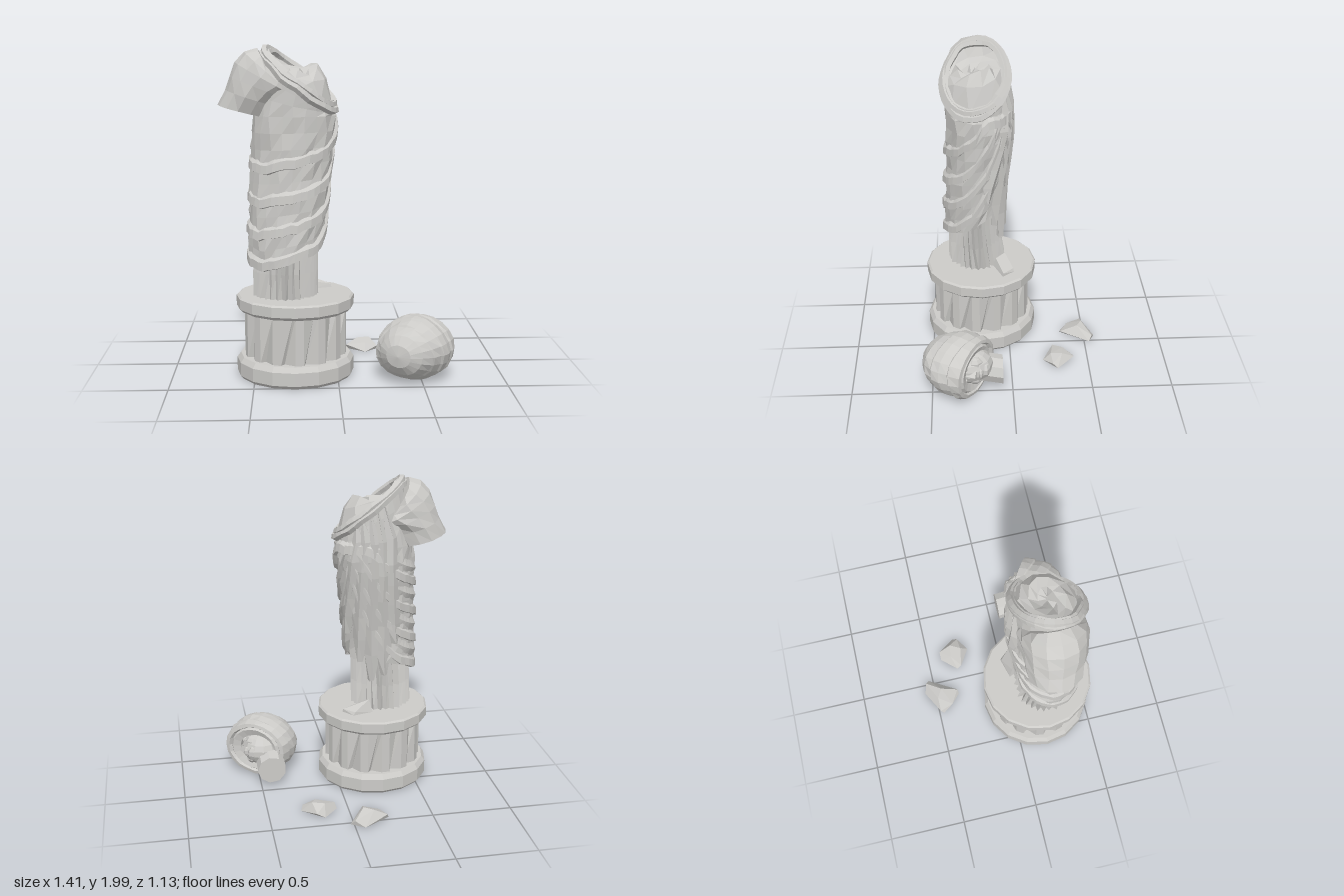
import * as THREE from 'three';
import { ConvexGeometry } from 'three/addons/geometries/ConvexGeometry.js';

const TAU = Math.PI * 2;
const V = (x, y, z) => new THREE.Vector3(x, y, z);
const lerp = THREE.MathUtils.lerp;

// repeatable noise in -1..1
function noise(i, j = 0) {
  const s = Math.sin(i * 127.1 + j * 311.7 + 4.7) * 43758.5453;
  return (s - Math.floor(s)) * 2 - 1;
}

// closed loops of nu points stacked in nv steps; point(i, v, j) gives each corner
function loft(nu, nv, point, capEnds = false) {
  const pos = [], idx = [];
  for (let j = 0; j <= nv; j++)
    for (let i = 0; i < nu; i++) pos.push(...point(i, j / nv, j).toArray());
  for (let j = 0; j < nv; j++)
    for (let i = 0; i < nu; i++) {
      const a = j * nu + i, b = j * nu + (i + 1) % nu;
      idx.push(a, b, b + nu, a, b + nu, a + nu);
    }
  if (capEnds) {
    const e = nv * nu;
    for (let i = 1; i < nu - 1; i++) idx.push(0, i + 1, i, e, e + i, e + i + 1);
  }
  const g = new THREE.BufferGeometry();
  g.setAttribute('position', new THREE.Float32BufferAttribute(pos, 3));
  g.setIndex(idx);
  g.computeVertexNormals();
  return g;
}

// body cross-sections: y, centre x, centre z, radius x, radius z
const SECTIONS = [
  [0.50, -0.315, 0.200, 0.198, 0.188],
  [0.74, -0.315, 0.220, 0.210, 0.183],
  [0.90, -0.304, 0.215, 0.220, 0.183],
  [1.10, -0.287, 0.205, 0.230, 0.185],
  [1.30, -0.275, 0.187, 0.232, 0.195],
  [1.50, -0.257, 0.177, 0.246, 0.203],
  [1.62, -0.260, 0.180, 0.240, 0.200],
];
function onBody(a, y, off = 0) {
  let k = 0;
  while (k < SECTIONS.length - 2 && y > SECTIONS[k + 1][0]) k++;
  const p = SECTIONS[k], q = SECTIONS[k + 1];
  const [, cx, cz, rx, rz] = p.map((n, m) => lerp(n, q[m], (y - p[0]) / (q[0] - p[0])));
  return V(cx + (rx + off) * Math.sin(a), y, cz + (rz + off) * Math.cos(a));
}

// swags hang lowest at the front corner and climb steeply at the back
function swagY(a, y0, climb = 0.5) {
  let d = Math.abs(a + Math.PI / 4) % TAU;
  if (d > Math.PI) d = TAU - d;
  const t = d / Math.PI;
  return Math.min(1.58, y0 + 0.15 * t + climb * t ** 5);
}

// tilted collar loop
function collar(a, r = 1, lift = 0) {
  const s = Math.sin(a) * r, c = Math.cos(a) * r;
  return V(-0.225 + 0.205 * s - 0.015 * c, 1.795 - 0.16 * s - 0.035 * c + lift, 0.195 + 0.19 * c);
}

export function createModel() {
  const model = new THREE.Group();
  const stone = new THREE.MeshStandardMaterial({ color: 0xcccbc8, flatShading: true, side: THREE.DoubleSide });
  stone.name = 'grey stone';
  const add = (name, geo, parent = model) => {
    const m = new THREE.Mesh(geo, stone);
    m.name = name;
    parent.add(m);
    return m;
  };
  const group = (name) => {
    const g = new THREE.Group();
    g.name = name;
    model.add(g);
    return g;
  };

  // pedestal: two bevelled discs and a fluted drum with slanting grooves
  const pedestal = group('pedestal');
  pedestal.position.set(-0.255, 0, 0.175);
  const disc = (name, pts) =>
    add(name, new THREE.LatheGeometry(pts.map((p) => new THREE.Vector2(...p)), 16), pedestal);
  disc('baseDisc', [[0, 0], [0.34, 0], [0.357, 0.02], [0.357, 0.1], [0.335, 0.13], [0, 0.13]]);
  disc('topDisc', [[0, 0.41], [0.335, 0.41], [0.357, 0.43], [0.357, 0.49], [0.345, 0.5], [0, 0.5]]);
  const FLUTES = 14;
  add('flutedDrum', loft(FLUTES * 3, 1, (i, v) => {
    const k = i % 3;
    const a = ((Math.floor(i / 3) + [0, 0.36, lerp(0.46, 0.9, v)][k]) / FLUTES) * TAU;
    const r = k === 2 ? 0.275 : 0.31;
    return V(r * Math.sin(a), lerp(0.12, 0.42, v), r * Math.cos(a));
  }), pedestal);

  // pleated underskirt
  const skirt = group('underskirt');
  add('pleats', loft(56, 4, (i, v, j) => {
    const y = lerp(0.5, 1.1, v);
    const fold = (i % 2 ? -0.022 : 0.004) + 0.008 * noise(i);
    return onBody((i + 0.25 * noise(i, j)) / 56 * TAU, y, fold - 0.01 - 0.04 * v);
  }, true), skirt);
  add('toe', new ConvexGeometry([
    V(-0.18, 0.5, 0.1), V(-0.18, 0.55, 0.08), V(-0.03, 0.5, 0.04), V(-0.035, 0.52, 0.035),
    V(-0.09, 0.5, -0.035), V(-0.1, 0.52, -0.03), V(-0.22, 0.5, 0.0), V(-0.2, 0.58, 0.02),
  ]), skirt);

  // draped torso, from the slanted hem up to the collar
  const SIDES = 22;
  add('drapedTorso', loft(SIDES, 12, (i, v, j) => {
    const a = (i / SIDES) * TAU;
    const low = swagY(a, 0.69, 0.1);
    const y = lerp(low, 1.58, Math.min(1, v / 0.75));
    const p = onBody(a + 0.06 * noise(i, j), y, 0.004 + 0.009 * noise(i + 40, j));
    return v > 0.75 ? p.lerp(collar(a), (v - 0.75) / 0.25) : p;
  }));

  // broad swags wrapped round the torso
  const swags = group('swags');
  [0.71, 0.89, 1.08, 1.28].forEach((y0, k) => {
    const outline = [[-0.04, -0.005], [-0.034, 0.02], [0.016, 0.018], [0.045, -0.01]];
    add('swag', loft(4, 36, (i, v, j) => {
      const a = v * TAU + 0.75 * Math.PI;
      const [dy, off] = outline[i];
      return onBody(a, swagY(a, y0) + dy + 0.008 * noise(j % 36, k), off + 0.004 * noise(j % 36, k + 9));
    }), swags);
  });
  // softer swags between them on the far side
  [0.8, 0.98, 1.18, 1.36].forEach((y0, k) => {
    add('sideSwag', loft(4, 12, (i, v, j) => {
      const a = -(0.42 + v * 0.48) * Math.PI;
      const u = (i / 4) * TAU, taper = Math.sin(Math.PI * lerp(0.05, 0.95, v));
      return onBody(a, swagY(a, y0) + 0.045 * Math.cos(u), 0.018 * taper * Math.sin(u) + 0.003 * noise(j, k));
    }), swags);
  });

  // cascade of broad folds falling down the back: top angle, bottom angle, bottom height, width
  const cascade = group('backCascade');
  [
    [0.84, 0.62, 1.00, 0.26], [0.90, 0.74, 0.82, 0.26],
    [0.97, 0.85, 0.70, 0.25], [1.03, 0.97, 0.74, 0.25], [1.09, 1.09, 0.95, 0.26],
  ].forEach(([a0, a1, yLow, w], k) => {
    add('fold', loft(4, 6, (i, v, j) => {
      const u = (i / 4) * TAU;
      const a = lerp(a1, a0, v) * Math.PI + 0.03 * noise(j, k);
      const width = w * lerp(1, 0.7, v) * (j === 0 ? 0.4 : 1);
      const p = onBody(a + width * Math.cos(u), Math.min(1.6, lerp(yLow, 1.75, v)), 0.002 + 0.026 * Math.sin(u));
      return v > 0.8 ? p.lerp(collar(a0 * Math.PI, 1 + 0.05 * Math.sin(u)), (v - 0.8) / 0.2) : p;
    }, true), cascade);
  });

  // short cape sleeve with a domed shoulder: centre x, y, z, half axis x, y, half depth
  const SLEEVE = [
    [-0.545, 1.60, 0.165, -0.160, 0.04, 0.160],
    [-0.500, 1.68, 0.175, -0.160, 0.05, 0.170],
    [-0.450, 1.74, 0.185, -0.185, 0.07, 0.188],
    [-0.400, 1.78, 0.190, -0.200, 0.11, 0.195],
    [-0.380, 1.81, 0.190, -0.165, 0.14, 0.185],
    [-0.400, 1.85, 0.190, -0.070, 0.12, 0.140],
  ];
  add('capSleeve', loft(14, 5, (i, v, j) => {
    const [x, y, z, ax, ay, rz] = SLEEVE[j];
    const a = -(i / 14) * TAU, s = Math.cos(a) * (1 + 0.03 * noise(i, j));
    return V(x + ax * s, y + ay * s, z + (rz + 0.012 * noise(i, j + 7)) * Math.sin(a));
  }, true));

  // twisted collar strands
  const collarGroup = group('collar');
  [[1.03, -0.02, 0.025], [1.0, 0.01, 0.022], [0.92, 0.01, 0.022]].forEach(([r, lift, thick], k) => {
    const pts = [];
    for (let i = 0; i < 18; i++)
      pts.push(collar((i / 18) * TAU, r + 0.025 * noise(i, k), lift + 0.01 * noise(i, k + 5)));
    add('collarStrand', new THREE.TubeGeometry(new THREE.CatmullRomCurve3(pts, true), 30, thick, 5, true), collarGroup);
  });

  // broken stone inside the collar: hollow towards the shoulder, crags opposite
  const RADII = [1, 0.8, 0.55, 0.28, 0.01], RISE = [0, 0.13, 0.16, 0.1, 0.07];
  add('brokenNeck', loft(10, 4, (i, v, j) => {
    const a = (i / 10) * TAU + 0.15 * noise(j);
    const rough = j > 0 && j < 4 ? 0.022 * noise(i, j + 20) : 0;
    return collar(a, RADII[j], RISE[j] * (0.3 + 0.65 * Math.sin(a)) + rough);
  }));

  // fallen head: wrapped hood, lying with the crown to the front
  const head = group('fallenHead');
  const hood = group('hood');
  head.add(hood);
  hood.position.set(0.522, 0.19, 0.23);
  hood.rotation.y = -Math.atan2(0.53, 0.85);
  const HOOD = [
    [0.02, 0.165], [-0.01, 0.185], [-0.005, 0.21], [0.05, 0.226], [0.06, 0.217], [0.115, 0.228],
    [0.17, 0.222], [0.18, 0.212], [0.235, 0.193], [0.245, 0.182], [0.297, 0.14], [0.335, 0.08], [0.345, 0.002],
  ];
  add('wrappedCloth', loft(20, HOOD.length - 1, (i, v, j) => {
    const a = (i / 20) * TAU;
    const [d, r] = HOOD[j];
    const rr = r * (1 + 0.02 * noise(i, j));
    const slant = 0.02 * Math.sin(a * 2 + 0.5) * (j > 2 && j < 10 ? 1 : 0);
    return V(rr * Math.cos(a), Math.max(-0.19, rr * 0.85 * Math.sin(a)), d + slant);
  }), hood);
  // hair waves framing the face
  const hair = add('hair', new THREE.TorusGeometry(0.145, 0.045, 5, 18), hood);
  hair.scale.set(1, 0.88, 0.9);
  hair.position.z = 0.03;

  // face looking to the side, neck towards the back
  const face = add('face', new THREE.SphereGeometry(1, 12, 9), head);
  face.scale.set(0.125, 0.11, 0.15);
  face.position.set(0.475, 0.19, 0.27);
  add('nose', new ConvexGeometry([
    V(0.585, 0.19, 0.32), V(0.625, 0.19, 0.235), V(0.58, 0.225, 0.225), V(0.58, 0.155, 0.225), V(0.54, 0.19, 0.22),
  ]), head);
  const lump = (name, x, y, z, sx, sy, sz) => {
    const m = add(name, new THREE.SphereGeometry(1, 7, 5), head);
    m.position.set(x, y, z);
    m.scale.set(sx, sy, sz);
  };
  lump('lips', 0.575, 0.19, 0.2, 0.025, 0.035, 0.016);
  lump('chin', 0.53, 0.19, 0.17, 0.045, 0.05, 0.03);
  for (const s of [-1, 1]) {
    lump('brow', 0.58, 0.19 + s * 0.045, 0.32, 0.025, 0.036, 0.012);
    lump('eye', 0.58, 0.19 + s * 0.042, 0.29, 0.018, 0.022, 0.012);
    lump('cheek', 0.54, 0.19 + s * 0.055, 0.235, 0.04, 0.04, 0.05);
  }
  add('neck', loft(9, 2, (i, v) => {
    const a = -(i / 9) * TAU;
    return V(0.43 + 0.092 * Math.cos(a), lerp(0.11, 0.16, v) + 0.09 * Math.sin(a), lerp(0.06, 0.3, v));
  }, true), head);

  // loose chips of stone on the ground
  const chips = group('rubble');
  add('chip', new ConvexGeometry([
    V(-0.225, 0, -0.47), V(-0.215, 0.03, -0.49), V(-0.11, 0, -0.34), V(-0.085, 0.02, -0.345), V(0.025, 0.01, -0.53),
    V(0.0, 0.04, -0.55), V(-0.06, 0, -0.57), V(-0.13, 0.07, -0.49), V(-0.07, 0.075, -0.455), V(-0.18, 0.02, -0.4),
  ]), chips);
  add('chip', new ConvexGeometry([
    V(0.07, 0, -0.31), V(0.08, 0.03, -0.28), V(0.16, 0, -0.41), V(0.21, 0.03, -0.41), V(0.295, 0, -0.3),
    V(0.28, 0.025, -0.27), V(0.2, 0, -0.21), V(0.15, 0.06, -0.34), V(0.23, 0.07, -0.33), V(0.2, 0.05, -0.26),
  ]), chips);

  return model;
}
